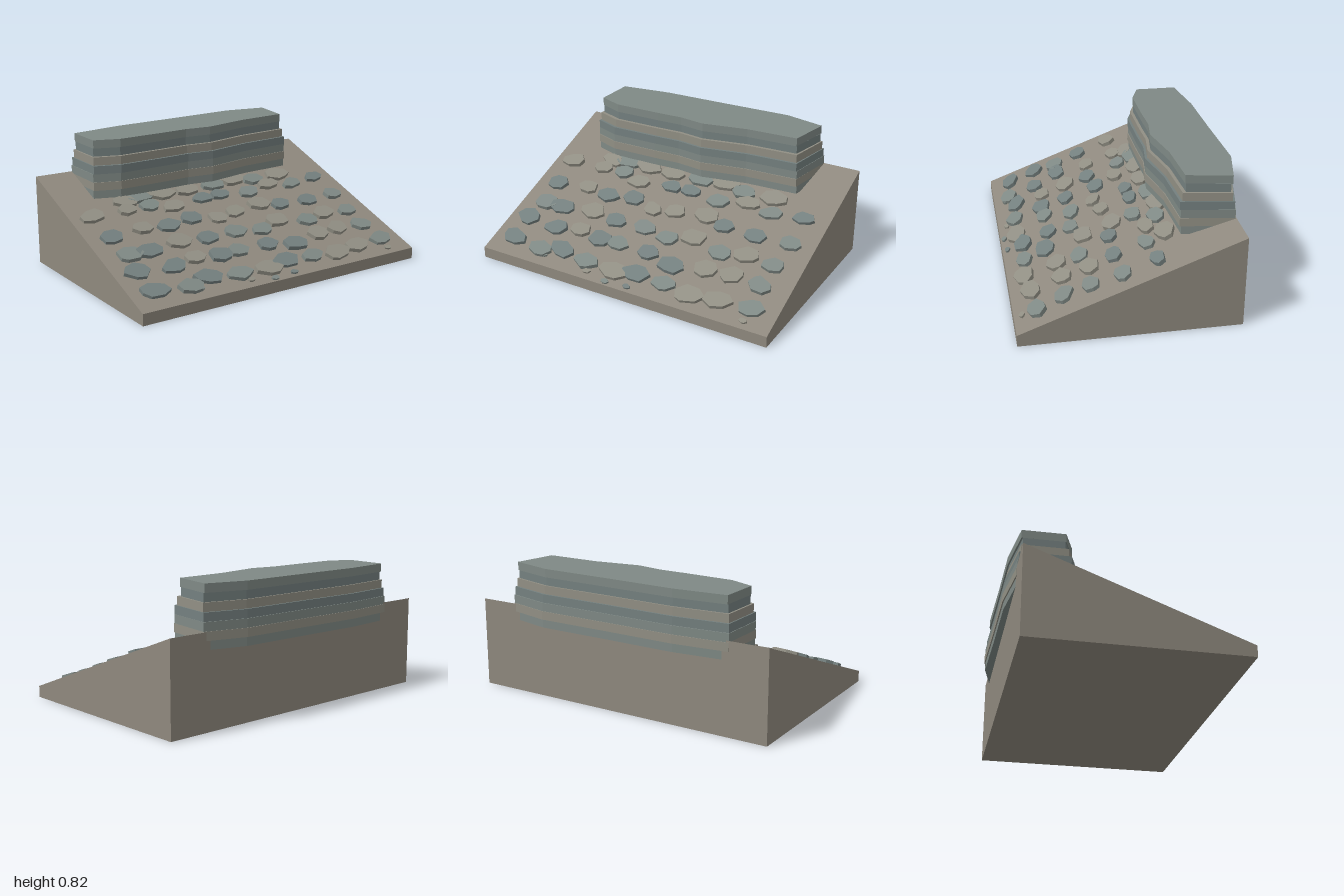
import * as THREE from 'three';

const FRONT_Z = 0.675, BACK_Z = -0.62, LOW = 0.07, HIGH = 0.56;
const SLOPE = (HIGH - LOW) / (FRONT_Z - BACK_Z);
const slopeY = (z) => LOW + (FRONT_Z - z) * SLOPE;

const mat = (color) => new THREE.MeshStandardMaterial({ color, flatShading: true });
const EARTH = mat(0x8f897e);
const GREY = mat(0x7f8985), BLUE = mat(0x74807f), TAN = mat(0x918f84);

let seed = 7;
function rand(a, b) {
  seed = (seed * 16807) % 2147483647;
  return a + (b - a) * (seed / 2147483647);
}

// Flat plate from an outline of [x, z] points, rising from y = 0
function plate(outline, height) {
  const shape = new THREE.Shape(outline.map(([x, z]) => new THREE.Vector2(x, -z)));
  const geo = new THREE.ExtrudeGeometry(shape, { depth: height, bevelEnabled: false });
  return geo.rotateX(-Math.PI / 2);
}

function add(parent, name, geo, material) {
  const mesh = new THREE.Mesh(geo, material);
  mesh.name = name;
  parent.add(mesh);
  return mesh;
}

// Hillside wedge: side profile extruded across x
function hillside() {
  const profile = new THREE.Shape([
    [-FRONT_Z, 0], [-BACK_Z, 0], [-BACK_Z, HIGH], [-FRONT_Z, LOW],
  ].map(([x, y]) => new THREE.Vector2(x, y)));
  const geo = new THREE.ExtrudeGeometry(profile, { depth: 2, bevelEnabled: false });
  return geo.translate(0, 0, -1).rotateY(Math.PI / 2);
}

// Stacked rock beds, each with a slightly different outline
function outcrop() {
  const group = new THREE.Group();
  group.name = 'outcrop';
  const outline = [
    [-0.73, -0.61], [-0.4, -0.65], [0.03, -0.655], [0.48, -0.665], [0.74, -0.605], [0.69, -0.325],
    [0.36, -0.31], [0.07, -0.255], [-0.1, -0.28], [-0.27, -0.275], [-0.58, -0.275], [-0.735, -0.335],
  ];
  // From the lowest bed up: [x scale, front z shift, back z shift, material]
  const beds = [
    [1.03, 0.015, -0.005, GREY], [1.03, 0.025, -0.012, TAN], [1.03, 0.02, -0.008, GREY],
    [1.025, 0.025, -0.002, BLUE], [1.015, 0.01, 0.01, TAN], [1.0, -0.01, 0.02, BLUE],
    [1.0, -0.005, 0.01, GREY],
  ];
  const h = 0.361 / beds.length;
  beds.forEach(([sx, front, back, material], i) => {
    const pts = outline.map(([x, z]) => [x * sx, z + (z > -0.46 ? front : back)]);
    add(group, 'rockBed' + (i + 1), plate(pts, h), material).position.y = i * h;
  });
  group.position.y = 0.453;
  group.rotation.z = 0.009;
  return group;
}

// Irregular flat stone lying on the slope
function stone(parent, name, x, z, w, d, h) {
  const sides = 7, pts = [];
  for (let i = 0; i < sides; i++) {
    const a = ((i + rand(-0.25, 0.25)) / sides) * Math.PI * 2;
    const r = rand(0.88, 1.08);
    pts.push([Math.cos(a) * r * w / 2, Math.sin(a) * r * d / 2]);
  }
  const mesh = add(parent, name, plate(pts, h), [GREY, BLUE, TAN][Math.floor(rand(0, 2.99))]);
  mesh.position.set(x, slopeY(z) - 0.003, z);
  mesh.rotation.set(Math.atan(SLOPE) + rand(-0.02, 0.08), rand(-0.25, 0.25), rand(-0.04, 0.04));
}

function scree() {
  const group = new THREE.Group();
  group.name = 'scree';
  // Each row: stone width, depth, then x, z pairs
  const rows = [
    [0.18, 0.11, [-0.59, -0.23, -0.48, -0.25, -0.32, -0.25, -0.13, -0.24, 0.07, -0.25, 0.24, -0.27,
      0.39, -0.235, 0.59, -0.245]],
    [0.15, 0.1, [-0.86, -0.15, -0.62, -0.155, -0.46, -0.155, -0.31, -0.11, -0.08, -0.14, 0.06, -0.14,
      0.27, -0.12, 0.46, -0.16, 0.63, -0.13, 0.84, -0.15]],
    [0.15, 0.11, [-0.84, 0.06, -0.62, 0.03, -0.45, 0.05, -0.27, 0.02, -0.1, 0.07, 0.05, 0.04,
      0.26, 0.01, 0.4, 0.05, 0.62, 0.06, 0.85, 0.05]],
    [0.16, 0.115, [-0.82, 0.23, -0.69, 0.23, -0.47, 0.2, -0.28, 0.22, -0.07, 0.21, 0.11, 0.24,
      0.27, 0.19, 0.47, 0.24, 0.64, 0.21, 0.82, 0.23]],
    [0.16, 0.12, [-0.86, 0.37, -0.63, 0.39, -0.46, 0.36, -0.29, 0.38, -0.16, 0.38, 0.06, 0.38,
      0.24, 0.42, 0.45, 0.38, 0.62, 0.37, 0.81, 0.38]],
    [0.18, 0.115, [-0.84, 0.54, -0.62, 0.57, -0.48, 0.53, -0.28, 0.56, -0.08, 0.57, 0.07, 0.54,
      0.27, 0.55, 0.45, 0.57, 0.63, 0.55, 0.84, 0.54]],
  ];
  for (const [w, d, at] of rows) {
    for (let i = 0; i < at.length; i += 2) {
      const s = rand(0.92, 1.12);
      stone(group, 'stone', at[i], at[i + 1], w * s, d * s, 0.026);
    }
  }
  for (const [x, z] of [[-0.58, 0.6], [-0.24, 0.62], [-0.09, 0.65], [0.06, 0.64], [0.83, 0.625]]) {
    stone(group, 'pebble', x, z, 0.055, 0.035, 0.014);
  }
  return group;
}

export function createModel() {
  const model = new THREE.Group();
  model.name = 'rockyHillside';
  add(model, 'hillside', hillside(), EARTH);
  model.add(outcrop(), scree());
  return model;
}
